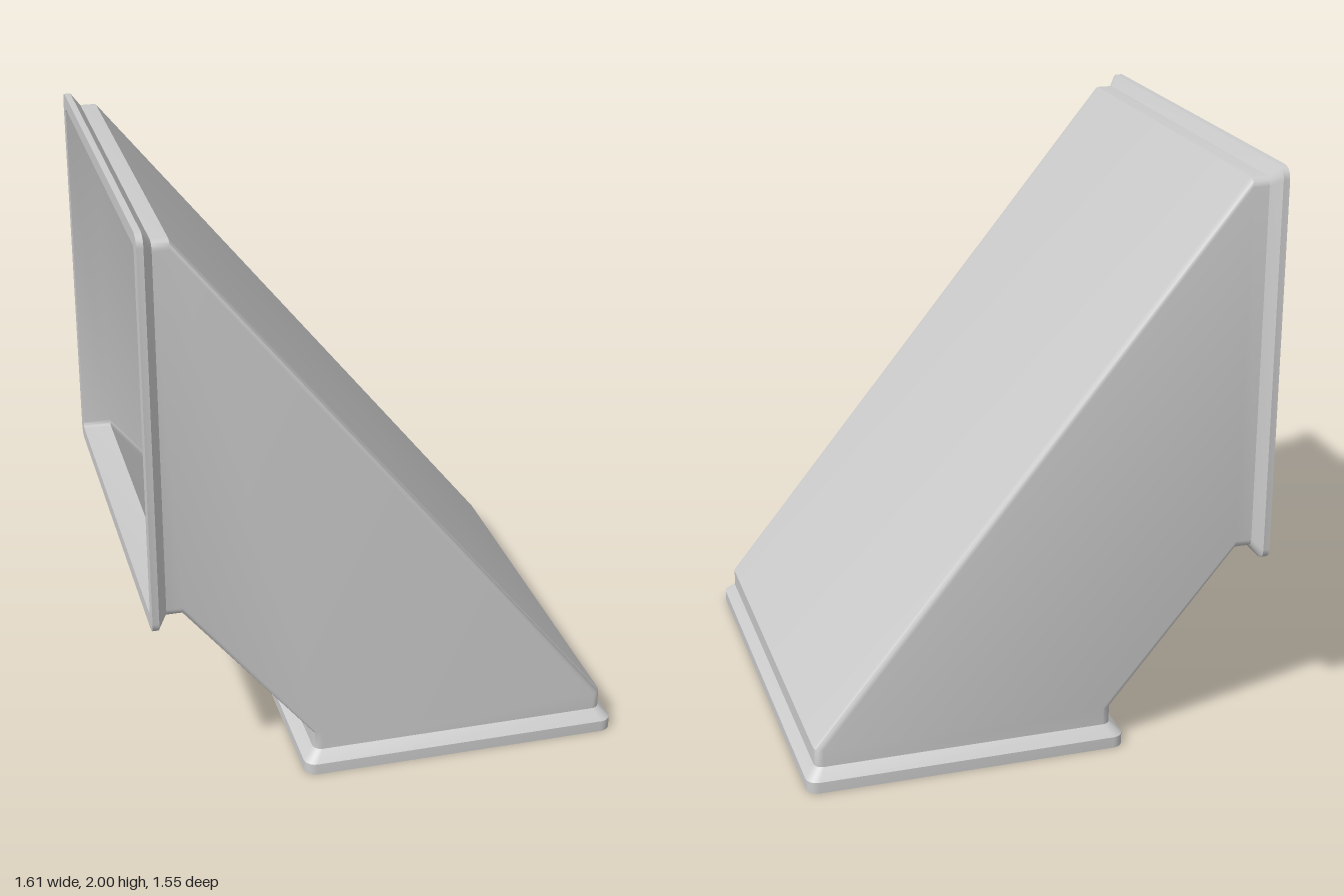
import * as THREE from 'three';
import { toCreasedNormals } from 'three/addons/utils/BufferGeometryUtils.js';

const CORNER_STEPS = 5;

// Rounded rectangle spanning lower point b to upper point a (in xy) and +-h in z
function ring([ax, ay, bx, by, h, r]) {
  const cx = (ax + bx) / 2, cy = (ay + by) / 2;
  const half = Math.hypot(ax - bx, ay - by) / 2;
  const ux = (ax - bx) / (2 * half), uy = (ay - by) / (2 * half);
  const points = [];
  [[1, 1], [-1, 1], [-1, -1], [1, -1]].forEach(([su, sv], q) => {
    for (let i = 0; i <= CORNER_STEPS; i++) {
      const t = (q + i / CORNER_STEPS) * Math.PI / 2;
      const u = su * (half - r) + r * Math.cos(t);
      const v = sv * (h - r) + r * Math.sin(t);
      points.push([cx + ux * u, cy + uy * u, v]);
    }
  });
  return points;
}

// Skin joining consecutive cross-sections, smooth at the corners, sharp at the bends
function loft(name, sections, material) {
  const rings = sections.map(ring);
  const pos = [];
  for (let i = 0; i < rings.length - 1; i++) {
    const n = rings[i].length;
    for (let j = 0; j < n; j++) {
      const k = (j + 1) % n;
      const a = rings[i][j], b = rings[i][k], c = rings[i + 1][k], d = rings[i + 1][j];
      pos.push(...a, ...b, ...c, ...a, ...c, ...d);
    }
  }
  const geometry = new THREE.BufferGeometry();
  geometry.setAttribute('position', new THREE.Float32BufferAttribute(pos, 3));
  const mesh = new THREE.Mesh(toCreasedNormals(geometry, 0.6), material);
  mesh.name = name;
  return mesh;
}

export function createModel() {
  const group = new THREE.Group();
  group.name = 'angledDuct';
  const material = new THREE.MeshStandardMaterial({ color: 0xcccccc, side: THREE.DoubleSide });

  // Cross-sections: upper x, y, lower x, y, half depth, corner radius
  const upright = (x, top, bottom, h, r) => [x, top, x, bottom, h, r];
  const level = (y, right, left, h, r) => [right, y, left, y, h, r];

  const sideRim = upright(-0.807, 2, 0.635, 0.775, 0.04);
  const sideNeck = upright(-0.755, 1.963, 0.672, 0.738, 0.03);
  const upperBend = upright(-0.7, 1.963, 0.672, 0.738, 0.03);
  const lowerBend = level(0.137, 0.773, -0.265, 0.738, 0.03);
  const baseNeck = level(0.075, 0.773, -0.265, 0.738, 0.03);
  const baseRim = level(0, 0.807, -0.302, 0.775, 0.04);

  const innerSide = upright(-0.807, 1.951, 0.684, 0.726, 0.02);
  const innerUpper = upright(-0.705, 1.951, 0.684, 0.726, 0.02);
  const innerLower = level(0.132, 0.761, -0.253, 0.726, 0.02);
  const innerBase = level(0, 0.761, -0.253, 0.726, 0.02);

  group.add(
    // Flange around the upright opening, with its end face
    loft('sideFlange', [innerSide, sideRim, upright(-0.785, 2, 0.635, 0.775, 0.04), sideNeck], material),
    // Sloping outer body between the two openings
    loft('ductBody', [sideNeck, upperBend, lowerBend, baseNeck], material),
    // Flange around the bottom opening, with its end face
    loft('baseFlange', [baseNeck, level(0.04, 0.807, -0.302, 0.775, 0.04), baseRim, innerBase], material),
    // Inside walls, running back from the bottom to the side opening
    loft('innerWalls', [innerBase, innerLower, innerUpper, innerSide], material)
  );
  return group;
}
